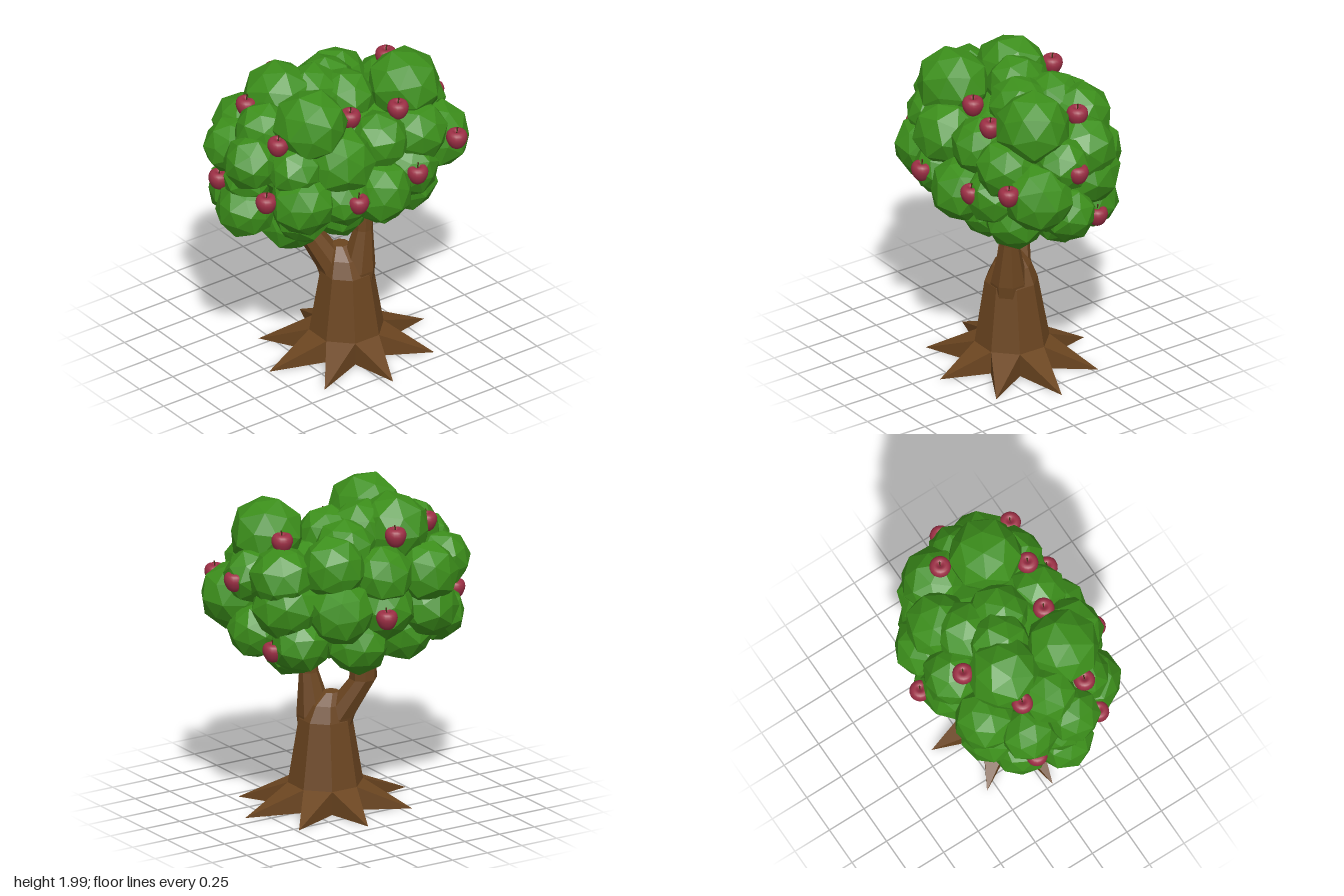
import * as THREE from 'three';
import { ConvexGeometry } from 'three/addons/geometries/ConvexGeometry.js';

const mat = (color, flatShading = true) => new THREE.MeshStandardMaterial({ color, flatShading });
const bark = mat(0x6b4520), leaf = mat(0x3c8f1b), skin = mat(0x9c2f45, false), stalk = mat(0x4a3018);

function fromTriangles(tris) {
  const g = new THREE.BufferGeometry().setFromPoints(tris);
  g.computeVertexNormals();
  return g;
}

// Point on an eight-sided ring whose flats face the axes
const SIDES = 8;
function ringPoint([x, y, z, r], i) {
  const a = ((i + 0.5) / SIDES) * Math.PI * 2;
  return new THREE.Vector3(x + r * Math.cos(a), y, z + r * Math.sin(a));
}

// Skin a series of level rings [x, y, z, radius] and close the top
function loft(rings) {
  const tris = [];
  for (let i = 0; i < SIDES; i++) {
    for (let k = 0; k < rings.length - 1; k++) {
      const a = ringPoint(rings[k], i), b = ringPoint(rings[k], i + 1);
      const d = ringPoint(rings[k + 1], i), c = ringPoint(rings[k + 1], i + 1);
      tris.push(a, d, b, b, d, c);
    }
    const top = rings[rings.length - 1];
    tris.push(new THREE.Vector3(top[0], top[1], top[2]), ringPoint(top, i + 1), ringPoint(top, i));
  }
  return fromTriangles(tris);
}

// Star of pointed roots, one per side of the trunk
function rootStar() {
  const tris = [], cx = 0.07, cz = 0.065, centre = new THREE.Vector3(cx, 0, cz);
  for (let i = 0; i < SIDES; i++) {
    const a = ringPoint([cx, 0.145, cz, 0.232], i), b = ringPoint([cx, 0.145, cz, 0.232], i + 1);
    const va = ringPoint([cx, 0, cz, 0.235], i), vb = ringPoint([cx, 0, cz, 0.235], i + 1);
    const ang = ((i + 1) / SIDES) * Math.PI * 2 + 0.04;
    const tip = new THREE.Vector3(cx + 0.565 * Math.cos(ang), 0, cz + 0.515 * Math.sin(ang));
    tris.push(a, b, tip, a, tip, va, b, vb, tip, va, tip, vb, centre, va, vb);
  }
  return fromTriangles(tris);
}

// Ball of twelve pentagons, each raised slightly at its middle
function leafBall() {
  const phi = (1 + Math.sqrt(5)) / 2, pts = [];
  const push = (x, y, z, r) => pts.push(new THREE.Vector3(x, y, z).setLength(r));
  for (const s of [-1, 1]) for (const t of [-1, 1]) {
    push(s, t, 1, 1);
    push(s, t, -1, 1);
    const a = s / phi, b = t * phi;
    push(0, a, b, 1); push(a, b, 0, 1); push(b, 0, a, 1);
    push(s, 0, b, 0.93); push(0, b, s, 0.93); push(b, s, 0, 0.93);
  }
  return new ConvexGeometry(pts);
}

// Leaf clumps: x, y, z, radius
const crown = [
  [-0.32, 1.765, 0.23, 0.225], [-0.27, 1.76, -0.16, 0.225], [0.43, 1.765, 0.16, 0.225],
  [0.08, 1.72, 0.02, 0.19], [0.25, 1.64, -0.3, 0.2], [0.52, 1.58, -0.15, 0.2],
  [-0.09, 1.76, -0.08, 0.19], [-0.5, 1.68, 0.0, 0.18], [0.1, 1.7, -0.2, 0.19],
];
const upper = [
  [-0.65, 1.55, 0.08, 0.17], [-0.6, 1.52, -0.2, 0.17], [-0.19, 1.53, 0.36, 0.21],
  [0.4, 1.53, 0.33, 0.19], [0.12, 1.56, 0.33, 0.18], [0.6, 1.56, 0.06, 0.17],
  [-0.38, 1.52, -0.37, 0.19], [-0.05, 1.56, -0.38, 0.19], [-0.46, 1.52, 0.27, 0.17],
];
const middle = [
  [-0.45, 1.32, 0.33, 0.2], [0.06, 1.27, 0.42, 0.2], [0.61, 1.39, 0.24, 0.21],
  [0.5, 1.41, -0.17, 0.215], [0.32, 1.32, 0.36, 0.18], [0.25, 1.38, -0.38, 0.2],
  [-0.05, 1.36, -0.38, 0.2], [-0.4, 1.3, -0.34, 0.19], [-0.2, 1.3, 0.4, 0.17],
  [-0.62, 1.38, 0.0, 0.15],
];
const lower = [
  [-0.65, 1.2, 0.02, 0.18], [0.39, 1.115, -0.06, 0.19], [-0.35, 1.06, 0.08, 0.2],
  [-0.12, 1.13, 0.24, 0.18], [0.45, 1.18, -0.24, 0.18], [0.1, 1.15, -0.34, 0.19],
  [-0.3, 1.13, -0.22, 0.19], [0.16, 1.13, 0.3, 0.16], [0.6, 1.22, 0.02, 0.17],
  [-0.54, 1.2, -0.22, 0.18], [0.08, 1.14, 0.0, 0.18], [-0.4, 1.18, 0.26, 0.17],
  [0.38, 1.16, 0.25, 0.19],
];

const apples = [
  [-0.56, 1.7, 0.23], [-0.05, 1.74, 0.27], [0.25, 1.74, 0.35], [0.61, 1.46, 0.46],
  [0.28, 1.35, 0.51], [-0.19, 1.32, 0.55], [-0.67, 1.35, 0.26], [0.74, 1.55, 0.04],
  [0.5, 1.8, -0.12], [-0.15, 1.79, -0.38], [0.035, 1.35, -0.57], [-0.5, 1.77, -0.18],
  [0.61, 1.14, -0.19], [-0.69, 1.31, -0.2],
];

export function createModel() {
  const tree = new THREE.Group();
  tree.name = 'appleTree';
  const add = (parent, name, geometry, material) => {
    const m = new THREE.Mesh(geometry, material);
    m.name = name;
    parent.add(m);
    return m;
  };

  // Roots, trunk and the two limbs of the fork
  add(tree, 'roots', rootStar(), bark);
  add(tree, 'trunk', loft([
    [0.07, 0.145, 0.065, 0.232], [0.067, 0.55, 0.07, 0.165],
    [0.06, 0.65, 0.06, 0.12], [0.045, 0.72, 0.04, 0.05],
  ]), bark);
  add(tree, 'rightLimb', loft([
    [0.04, 0.45, 0.045, 0.11], [0.015, 0.57, 0.02, 0.113],
    [-0.108, 0.81, -0.08, 0.085], [-0.11, 1.2, -0.08, 0.08],
  ]), bark);
  add(tree, 'leftLimb', loft([
    [0.1, 0.4, 0.105, 0.11], [0.113, 0.57, 0.118, 0.113],
    [0.145, 0.84, 0.135, 0.06], [0.17, 1.2, 0.145, 0.045],
  ]), bark);

  // Foliage: an inner mass covered with turned clumps
  const foliage = new THREE.Group();
  foliage.name = 'foliage';
  tree.add(foliage);
  const ball = leafBall();
  const core = add(foliage, 'innerFoliage', ball, leaf);
  core.position.set(0, 1.42, 0);
  core.scale.set(0.64, 0.36, 0.43);
  [...crown, ...upper, ...middle, ...lower].forEach(([x, y, z, r], i) => {
    const clump = add(foliage, 'leafClump', ball, leaf);
    clump.position.set(x, y, z);
    clump.rotation.set(i * 1.3, i * 2.1, i * 0.7);
    clump.scale.setScalar(r * 1.05);
  });

  // Apples with a dimpled profile and a short stalk
  const profile = new THREE.SplineCurve([
    [0, -0.048], [0.025, -0.058], [0.05, -0.035], [0.066, 0.01],
    [0.056, 0.046], [0.03, 0.056], [0.012, 0.045], [0, 0.036],
  ].map(([x, y]) => new THREE.Vector2(x, y))).getPoints(18);
  profile.forEach((p) => { p.x = Math.max(p.x, 0); });
  const appleGeo = new THREE.LatheGeometry(profile, 18);
  const stalkGeo = new THREE.CylinderGeometry(0.005, 0.004, 0.045, 5);
  for (const [x, y, z] of apples) {
    const apple = new THREE.Group();
    apple.name = 'apple';
    apple.position.set(x, y, z);
    add(apple, 'appleBody', appleGeo, skin);
    const s = add(apple, 'appleStalk', stalkGeo, stalk);
    s.position.set(0.003, 0.056, 0);
    s.rotation.z = -0.15;
    tree.add(apple);
  }
  return tree;
}
